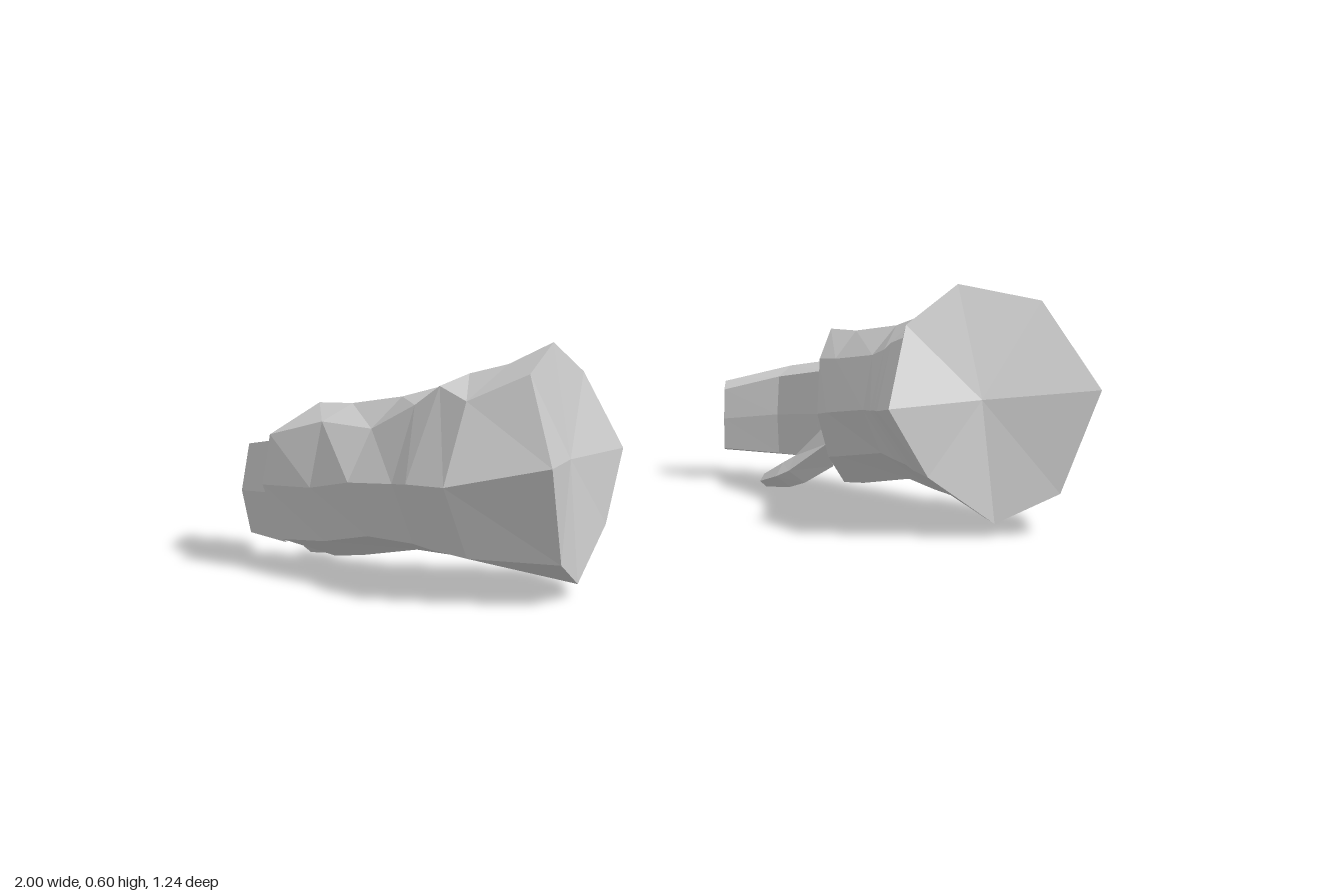
import * as THREE from 'three';

const material = new THREE.MeshStandardMaterial({ color: 0xcccccc, flatShading: true });

// Outlines as [across, up] fractions, starting at the inner point and going over the top.
const octagon = [[0, 0.5], [0.16, 0.84], [0.46, 1], [0.83, 0.86], [1, 0.48], [0.87, 0.12], [0.45, 0], [0.16, 0.2]];
const hexagon = [[0, 0.5], [0.1, 0.92], [0.8, 1], [1, 0.48], [0.75, 0], [0.1, 0.06]];
const diamond = [[0, 0.5], [0.5, 1], [1, 0.55], [0.45, 0]];

// Fits an outline between inner/outer x and bottom/top y. The slice is skewed from
// zInner to zOuter and leans back at the top.
function slice(outline, [xInner, xOuter, bottom, top, zInner, zOuter, lean]) {
  return outline.map(([u, v]) => new THREE.Vector3(
    THREE.MathUtils.lerp(xInner, xOuter, u),
    THREE.MathUtils.lerp(bottom, top, v),
    THREE.MathUtils.lerp(zInner, zOuter, u) + lean * (0.5 - v)));
}

// Skins the rings and closes both ends with fans, set in or out by startDepth and endDepth.
// side = -1 mirrors the part across x and keeps its faces outward.
function loft(name, rings, side, startDepth = 0, endDepth = 0) {
  const R = rings.map(ring => {
    const pts = ring.map(p => new THREE.Vector3(p.x * side, p.y, p.z));
    return side < 0 ? pts.reverse() : pts;
  });
  const n = R[0].length, triangles = [];
  const centre = (ring, dz) => {
    const c = new THREE.Vector3();
    ring.forEach(p => c.add(p));
    c.divideScalar(n).z += dz;
    return c;
  };
  const first = R[0], last = R[R.length - 1];
  const c0 = centre(first, startDepth), c1 = centre(last, endDepth);
  for (let j = 0; j < n; j++) {
    const k = (j + 1) % n;
    for (let i = 0; i < R.length - 1; i++) {
      triangles.push(R[i][j], R[i][k], R[i + 1][k]);
      triangles.push(R[i][j], R[i + 1][k], R[i + 1][j]);
    }
    triangles.push(c0, first[k], first[j], c1, last[j], last[k]);
  }
  const geometry = new THREE.BufferGeometry().setFromPoints(triangles);
  geometry.computeVertexNormals();
  const mesh = new THREE.Mesh(geometry, material);
  mesh.name = name;
  return mesh;
}

// Sleeve: pointed elbow end, bulge, forearm, wrist, cuff edge and turned-in lip
function createSleeve(side) {
  const elbow = [
    [0.42, 0.32, 0.36], [0.51, 0.51, 0.32], [0.64, 0.60, 0.36], [0.81, 0.555, 0.47],
    [0.87, 0.35, 0.62], [0.79, 0.10, 0.56], [0.66, 0.03, 0.47], [0.51, 0.15, 0.40],
  ].map(p => new THREE.Vector3(...p));
  // Each station also places its outer top ridge point (x, y)
  const stations = [
    { size: [0.47, 1.00, 0.05, 0.545, 0.26, 0.37, 0.06], ridge: [0.89, 0.48] },
    { size: [0.52, 0.99, 0.06, 0.51, 0.19, 0.22, 0.08], ridge: [0.85, 0.495] },
    { size: [0.57, 0.955, 0.065, 0.475, 0.12, 0.13, 0.06], ridge: [0.86, 0.44] },
    { size: [0.635, 0.955, 0.07, 0.435, 0.02, -0.03, 0.05], ridge: [0.87, 0.365] },
    { size: [0.68, 0.935, 0.035, 0.40, -0.165, -0.19, 0.03], ridge: [0.89, 0.365] },
    { size: [0.69, 0.95, 0.025, 0.39, -0.21, -0.345, 0.05], ridge: [0.93, 0.32] },
    { size: [0.72, 0.92, 0.07, 0.345, -0.22, -0.325, 0.05], ridge: [0.905, 0.29] },
  ];
  const rings = stations.map(({ size, ridge }) => {
    const ring = slice(octagon, size);
    ring[3].setX(ridge[0]).setY(ridge[1]);
    return ring;
  });
  return loft('sleeve', [elbow, ...rings], side, -0.01, 0.04);
}

function createPart(name, outline, stations, side) {
  return loft(name, stations.map(s => slice(outline, s)), side);
}

function createArm(name, side) {
  const arm = new THREE.Group();
  arm.name = name;
  arm.add(
    createSleeve(side),
    createPart('palm', hexagon, [
      [0.73, 0.90, 0.07, 0.31, -0.20, -0.20, 0],
      [0.75, 0.91, 0.06, 0.305, -0.27, -0.33, 0],
      [0.80, 0.91, 0.06, 0.30, -0.34, -0.35, 0],
    ], side),
    // joined fingers, curling inward
    createPart('fingers', hexagon, [
      [0.81, 0.91, 0.055, 0.305, -0.32, -0.34, 0],
      [0.79, 0.875, 0.055, 0.27, -0.47, -0.505, 0],
      [0.713, 0.76, 0.065, 0.23, -0.575, -0.622, 0],
    ], side),
    createPart('thumb', diamond, [
      [0.73, 0.80, 0.07, 0.19, -0.22, -0.25, 0],
      [0.695, 0.77, 0.025, 0.085, -0.32, -0.32, 0.04],
      [0.69, 0.76, 0.01, 0.065, -0.36, -0.36, 0.03],
      [0.705, 0.74, 0, 0.03, -0.435, -0.435, 0.01],
    ], side),
  );
  return arm;
}

export function createModel() {
  const model = new THREE.Group();
  model.name = 'pairOfForearms';
  model.add(createArm('leftForearm', 1), createArm('rightForearm', -1));
  return model;
}
